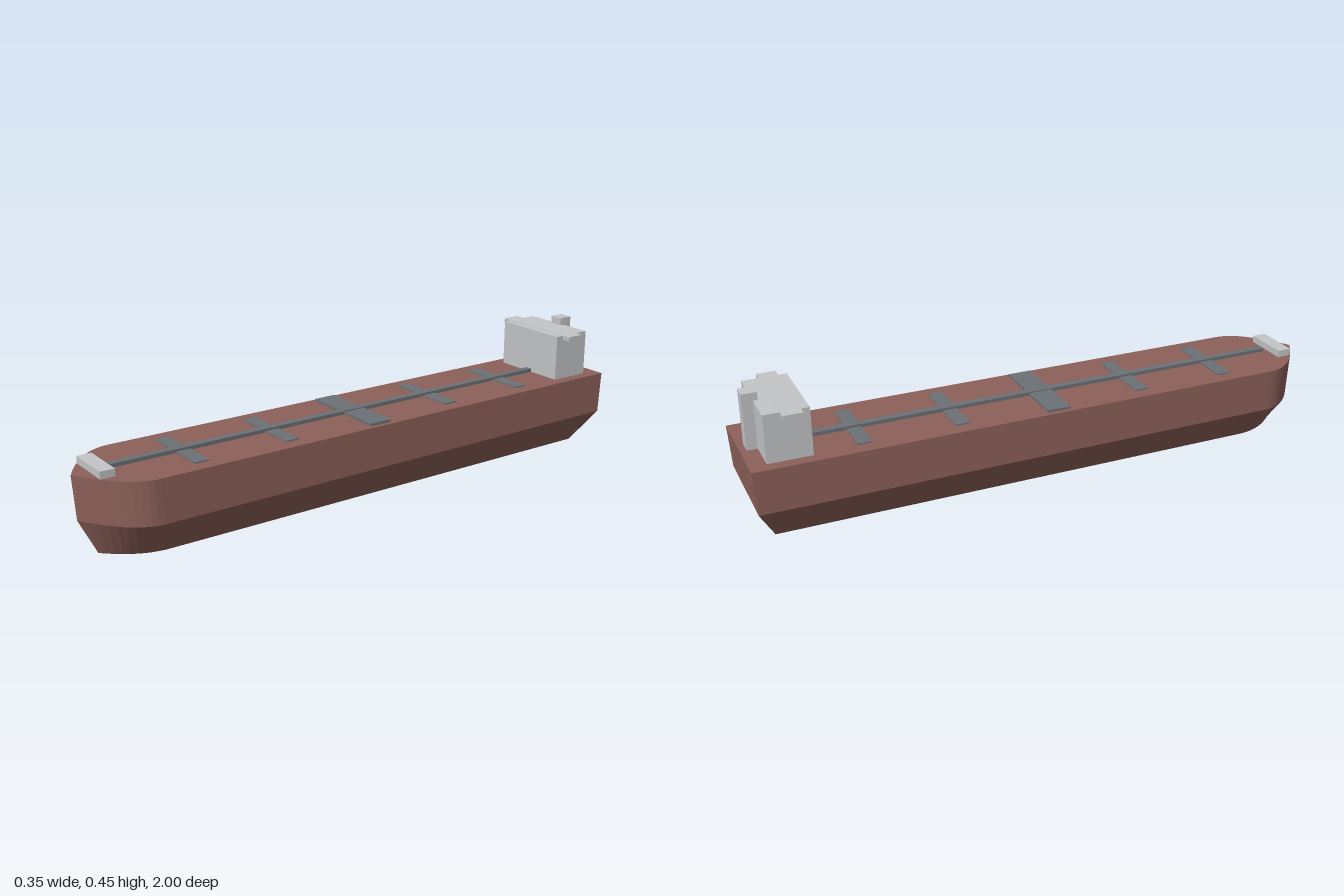
import * as THREE from 'three';

export function createModel() {
  const ship = new THREE.Group();
  ship.name = 'tankerShip';

  const hullRed = new THREE.MeshStandardMaterial({ color: 0x8e615a, flatShading: true });
  hullRed.name = 'hullRed';
  const houseGrey = new THREE.MeshStandardMaterial({ color: 0xc4c6c8 });
  houseGrey.name = 'houseGrey';
  const pipeGrey = new THREE.MeshStandardMaterial({ color: 0x6c7176 });
  pipeGrey.name = 'pipeGrey';

  // Deck outline: square stern, straight sides, curved pointed bow
  const half = 0.176, deckY = 0.264;
  const bow = new THREE.QuadraticBezierCurve(
    new THREE.Vector2(half, 0.8), new THREE.Vector2(half, 0.9), new THREE.Vector2(0, 1));
  const leftSide = [new THREE.Vector2(half, -1), ...bow.getPoints(10)];
  const rightSide = leftSide.slice(0, -1).reverse().map(p => new THREE.Vector2(-p.x, p.y));
  const outline = [...leftSide, ...rightSide];

  // Hull: the outline scaled at keel, knuckle and deck, joined and capped
  const levels = [
    { y: 0, sx: 0.55, sz: 0.932 },
    { y: 0.12, sx: 1, sz: 0.991 },
    { y: deckY, sx: 1, sz: 1 },
  ];
  const rings = levels.map(l => outline.map(p => [p.x * l.sx, l.y, p.y * l.sz]));
  const pos = [];
  const tri = (a, b, c) => pos.push(...a, ...b, ...c);
  const n = outline.length;
  for (let i = 0; i < n; i++) {
    const j = (i + 1) % n;
    for (let k = 0; k < rings.length - 1; k++) {
      const low = rings[k], up = rings[k + 1];
      tri(low[i], up[i], low[j]);
      tri(low[j], up[i], up[j]);
    }
    tri([0, 0, 0], rings[0][i], rings[0][j]);
    tri([0, deckY, 0], rings[2][j], rings[2][i]);
  }
  const hullGeo = new THREE.BufferGeometry();
  hullGeo.setAttribute('position', new THREE.Float32BufferAttribute(pos, 3));
  hullGeo.computeVertexNormals();
  const hull = new THREE.Mesh(hullGeo, hullRed);
  hull.name = 'hull';
  ship.add(hull);

  // Box centred on x, given by half width and its y and z ranges
  function block(name, mat, hw, y0, y1, z0, z1) {
    const mesh = new THREE.Mesh(new THREE.BoxGeometry(hw * 2, y1 - y0, z1 - z0), mat);
    mesh.position.set(0, (y0 + y1) / 2, (z0 + z1) / 2);
    mesh.name = name;
    ship.add(mesh);
  }

  // Deckhouse, bridge wings, funnel and bow platform
  block('deckhouse', houseGrey, 0.137, deckY, 0.423, -0.945, -0.802);
  block('bridgeWings', houseGrey, 0.169, 0.409, 0.4245, -0.892, -0.83);
  block('funnel', houseGrey, 0.024, deckY, 0.449, -0.979, -0.93);
  block('bowPlatform', houseGrey, 0.08, deckY, 0.288, 0.897, 0.945);

  // Deck piping
  block('centrePipe', pipeGrey, 0.0125, deckY, 0.276, -0.802, 0.88);
  block('manifold', pipeGrey, 0.16, deckY, 0.2725, -0.04, 0.04);
  for (const z of [-0.64, -0.32, 0.32, 0.64]) {
    block('crossPipe', pipeGrey, 0.128, deckY, 0.2685, z - 0.024, z + 0.024);
  }

  return ship;
}
